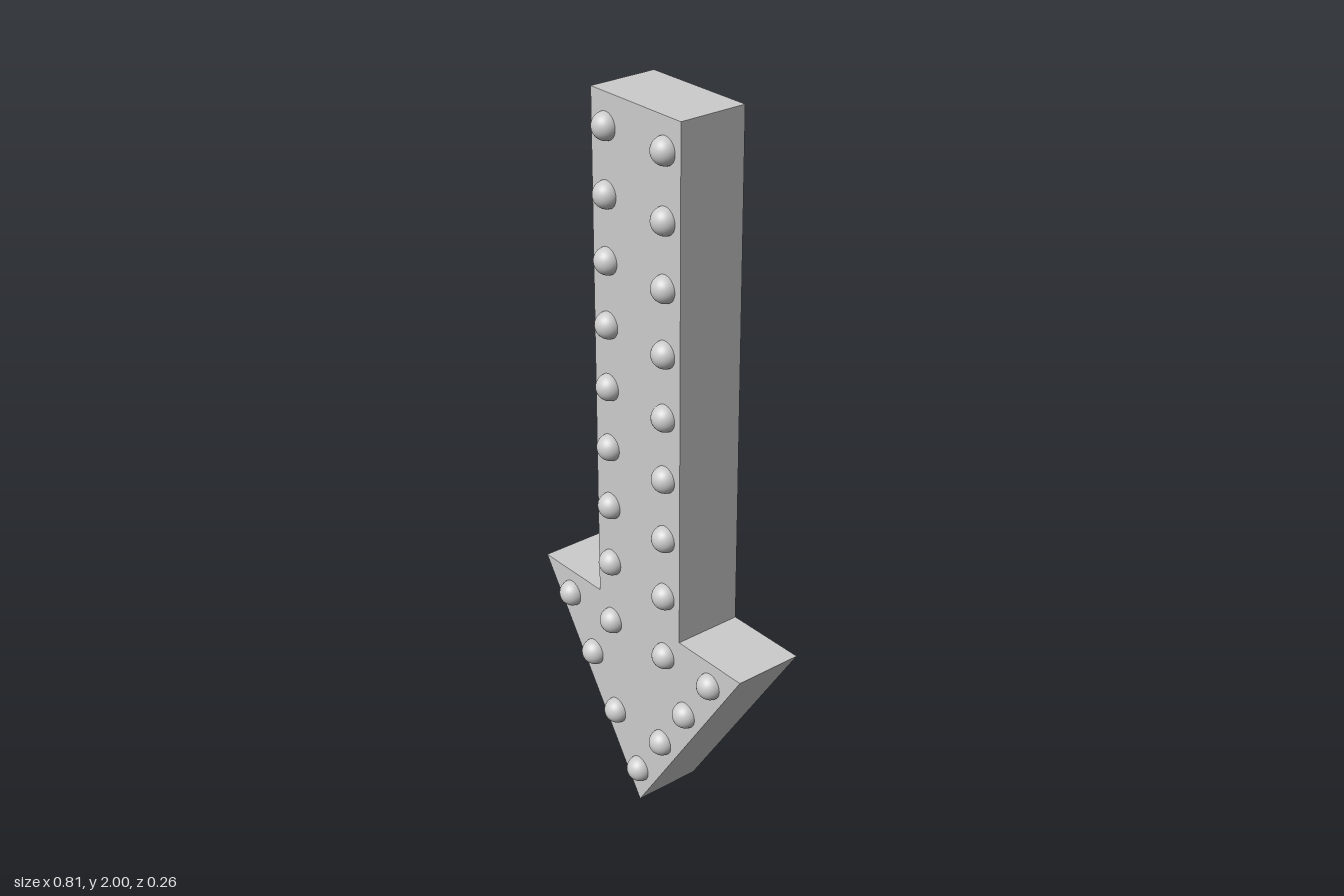
import * as THREE from 'three';

export function createModel() {
  const group = new THREE.Group();
  const material = new THREE.MeshStandardMaterial({ color: 0xcccccc });
  const halfDepth = 0.096;

  // Arrow body: shaft and pointed head in one outline
  const outline = new THREE.Shape([
    [0, 0], [0.403, 0.602], [0.166, 0.602], [0.166, 2],
    [-0.166, 2], [-0.166, 0.602], [-0.403, 0.602],
  ].map(([x, y]) => new THREE.Vector2(x, y)));
  const bodyGeometry = new THREE.ExtrudeGeometry(outline, { depth: 2 * halfDepth, bevelEnabled: false });
  bodyGeometry.translate(0, 0, -halfDepth);
  const body = new THREE.Mesh(bodyGeometry, material);
  body.name = 'arrowBody';
  group.add(body);

  // Bulb positions: tip, head edges, then the two shaft rows
  const spots = [[0, 0.106]];
  for (const side of [-1, 1]) {
    for (let i = 1; i <= 3; i++) spots.push([side * 0.0965 * i, 0.106 + 0.1425 * i]);
    spots.push([side * 0.11, 0.534]);
    for (let i = 0; i < 8; i++) spots.push([side * 0.11, 0.716 + 0.1715 * i]);
  }

  // Round bulbs half sunk into both faces
  const bulbGeometry = new THREE.SphereGeometry(0.036, 32, 20);
  for (const face of [1, -1]) {
    const bulbs = new THREE.Group();
    bulbs.name = face > 0 ? 'frontBulbs' : 'backBulbs';
    for (const [x, y] of spots) {
      const bulb = new THREE.Mesh(bulbGeometry, material);
      bulb.name = 'bulb';
      bulb.position.set(x, y, face * halfDepth);
      bulbs.add(bulb);
    }
    group.add(bulbs);
  }
  return group;
}
